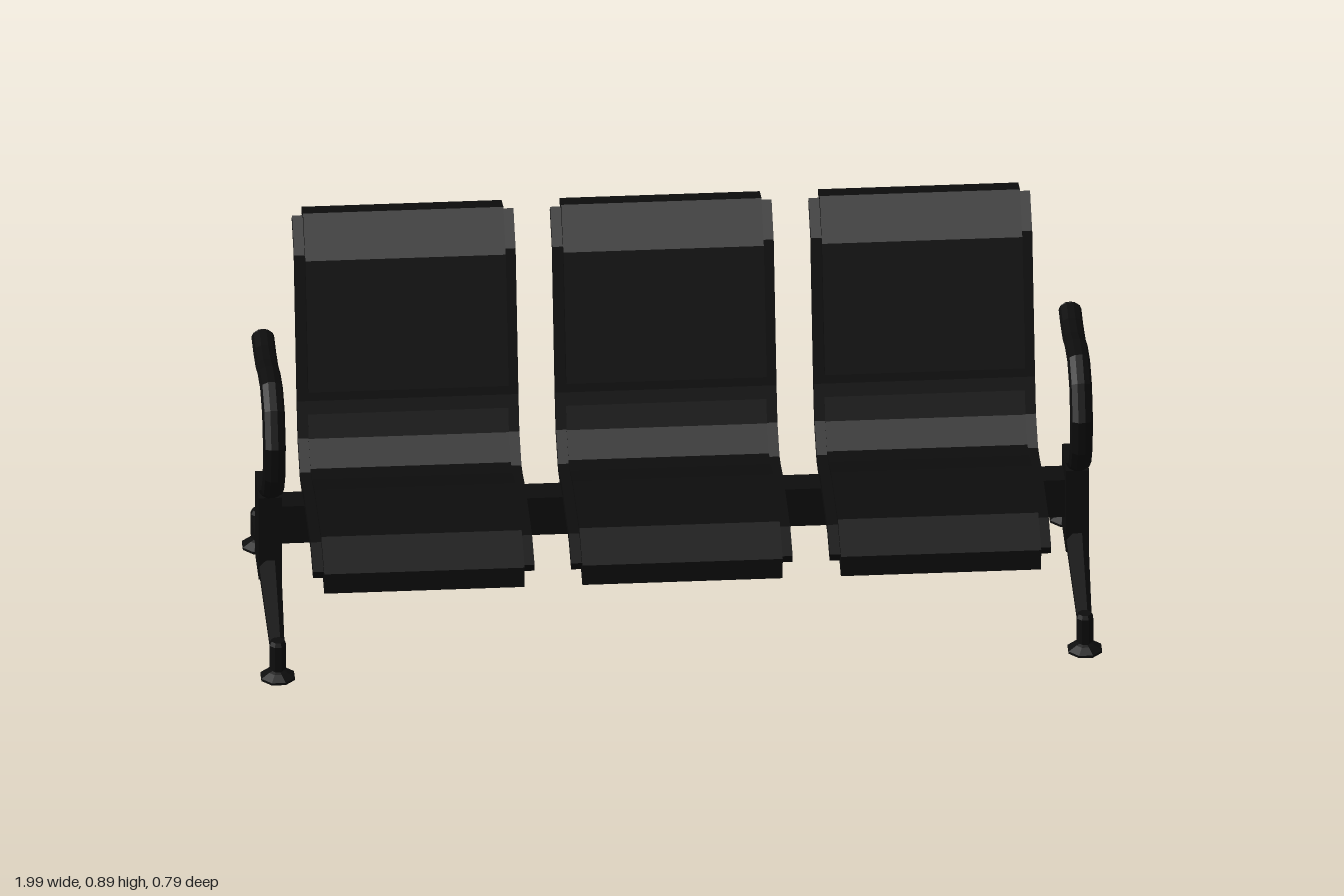
import * as THREE from 'three';

const black = new THREE.MeshStandardMaterial({ color: 0x0d0d0d, flatShading: true });

function add(parent, name, geometry, x = 0, y = 0, z = 0) {
  const mesh = new THREE.Mesh(geometry, black);
  mesh.name = name;
  mesh.position.set(x, y, z);
  parent.add(mesh);
  return mesh;
}

// Side profile of [z, y] points, extruded across x and centred
function sideExtrude(points, width) {
  const shape = new THREE.Shape(points.map(([z, y]) => new THREE.Vector2(z, y)));
  const geometry = new THREE.ExtrudeGeometry(shape, { depth: width, bevelEnabled: false });
  return geometry.translate(0, 0, -width / 2).rotateY(-Math.PI / 2);
}

// Closed outline of a sheet of even thickness following a path
function sheetOutline(path, thickness) {
  const upper = [], lower = [];
  path.forEach(([z, y], i) => {
    const a = path[Math.max(i - 1, 0)], b = path[Math.min(i + 1, path.length - 1)];
    const len = Math.hypot(b[0] - a[0], b[1] - a[1]);
    const nz = -(b[1] - a[1]) / len * thickness / 2, ny = (b[0] - a[0]) / len * thickness / 2;
    upper.push([z + nz, y + ny]);
    lower.unshift([z - nz, y - ny]);
  });
  return upper.concat(lower);
}

const SHELL = [[0.37, 0.31], [0.287, 0.342], [0.06, 0.343], [-0.03, 0.328], [-0.08, 0.328],
  [-0.157, 0.383], [-0.19, 0.47], [-0.287, 0.81], [-0.359, 0.873]];
const SEAT_PAD = [[0.395, 0.325], [0.29, 0.368], [0.06, 0.366], [-0.03, 0.345], [-0.08, 0.345],
  [-0.145, 0.39], [-0.18, 0.47], [-0.21, 0.46], [-0.175, 0.37], [-0.08, 0.305], [0.05, 0.32],
  [0.06, 0.328], [0.2, 0.326], [0.285, 0.31], [0.39, 0.27]];
const BACK_PAD = [[-0.155, 0.51], [-0.255, 0.81], [-0.335, 0.895], [-0.395, 0.88],
  [-0.32, 0.81], [-0.22, 0.505]];

function createSeat() {
  const seat = new THREE.Group();
  seat.name = 'seat';
  add(seat, 'seatShell', sideExtrude(sheetOutline(SHELL, 0.022), 0.525));
  add(seat, 'seatPad', sideExtrude(SEAT_PAD, 0.475));
  add(seat, 'backPad', sideExtrude(BACK_PAD, 0.475));
  for (const x of [-0.15, 0.15]) {
    add(seat, 'seatBracket', new THREE.BoxGeometry(0.05, 0.035, 0.165), x, 0.315, 0.0125);
  }
  return seat;
}

// Armrest loop, a tube wider in x than it is thick
const ARM = [[-0.015, 0.335], [0.06, 0.37], [0.137, 0.415], [0.18, 0.475], [0.193, 0.56],
  [0.16, 0.635], [0.095, 0.666], [0.01, 0.658], [-0.06, 0.637], [-0.14, 0.632], [-0.205, 0.638]];

function createArmrest() {
  const arm = new THREE.Group();
  arm.name = 'armrest';
  const curve = new THREE.CatmullRomCurve3(ARM.map(([z, y]) => new THREE.Vector3(0, y, z)));
  // one tube ring at each path point
  curve.getPointAt = (u, target) => curve.getPoint(u, target);
  curve.getTangentAt = (u, target) => curve.getTangent(u, target);
  add(arm, 'armTube', new THREE.TubeGeometry(curve, ARM.length - 1, 0.02, 10).scale(1.35, 1, 1));
  const [z, y] = ARM[ARM.length - 1];
  add(arm, 'armTip', new THREE.SphereGeometry(0.02, 10, 6).scale(1.35, 1, 0.6), 0, y, z);
  return arm;
}

// Levelling foot with its sleeve
const FOOT = [[0, 0], [0.043, 0], [0.043, 0.006], [0.022, 0.017], [0.014, 0.02], [0.014, 0.027],
  [0.021, 0.027], [0.021, 0.09], [0.016, 0.1], [0, 0.1]];

function createStand() {
  const stand = new THREE.Group();
  stand.name = 'stand';
  add(stand, 'post', new THREE.BoxGeometry(0.055, 0.22, 0.132), 0, 0.235, -0.0125);
  for (const [startZ, endZ] of [[0.03, 0.305], [-0.055, -0.33]]) {
    const from = new THREE.Vector3(0, 0.155, startZ), to = new THREE.Vector3(0, 0.07, endZ);
    const dir = to.clone().sub(from);
    const geometry = new THREE.CylinderGeometry(0.018, 0.029, dir.length(), 8).rotateY(Math.PI / 8);
    const leg = add(stand, 'leg', geometry);
    leg.position.copy(from).lerp(to, 0.5);
    leg.quaternion.setFromUnitVectors(new THREE.Vector3(0, 1, 0), dir.normalize());
    const profile = FOOT.map(([r, y]) => new THREE.Vector2(r, y));
    add(stand, 'foot', new THREE.LatheGeometry(profile, 8).rotateY(Math.PI / 8), 0, 0, endZ);
  }
  stand.add(createArmrest());
  return stand;
}

export function createModel() {
  const bench = new THREE.Group();
  bench.name = 'threeSeatBench';
  // Beam carrying all the seats
  add(bench, 'beam', new THREE.BoxGeometry(1.88, 0.1, 0.07), 0, 0.25, -0.018);
  for (const x of [-0.615, -0.003, 0.61]) {
    const seat = createSeat();
    seat.position.x = x;
    bench.add(seat);
  }
  for (const side of [-1, 1]) {
    const stand = createStand();
    stand.position.x = side * 0.957;
    bench.add(stand);
  }
  return bench;
}
